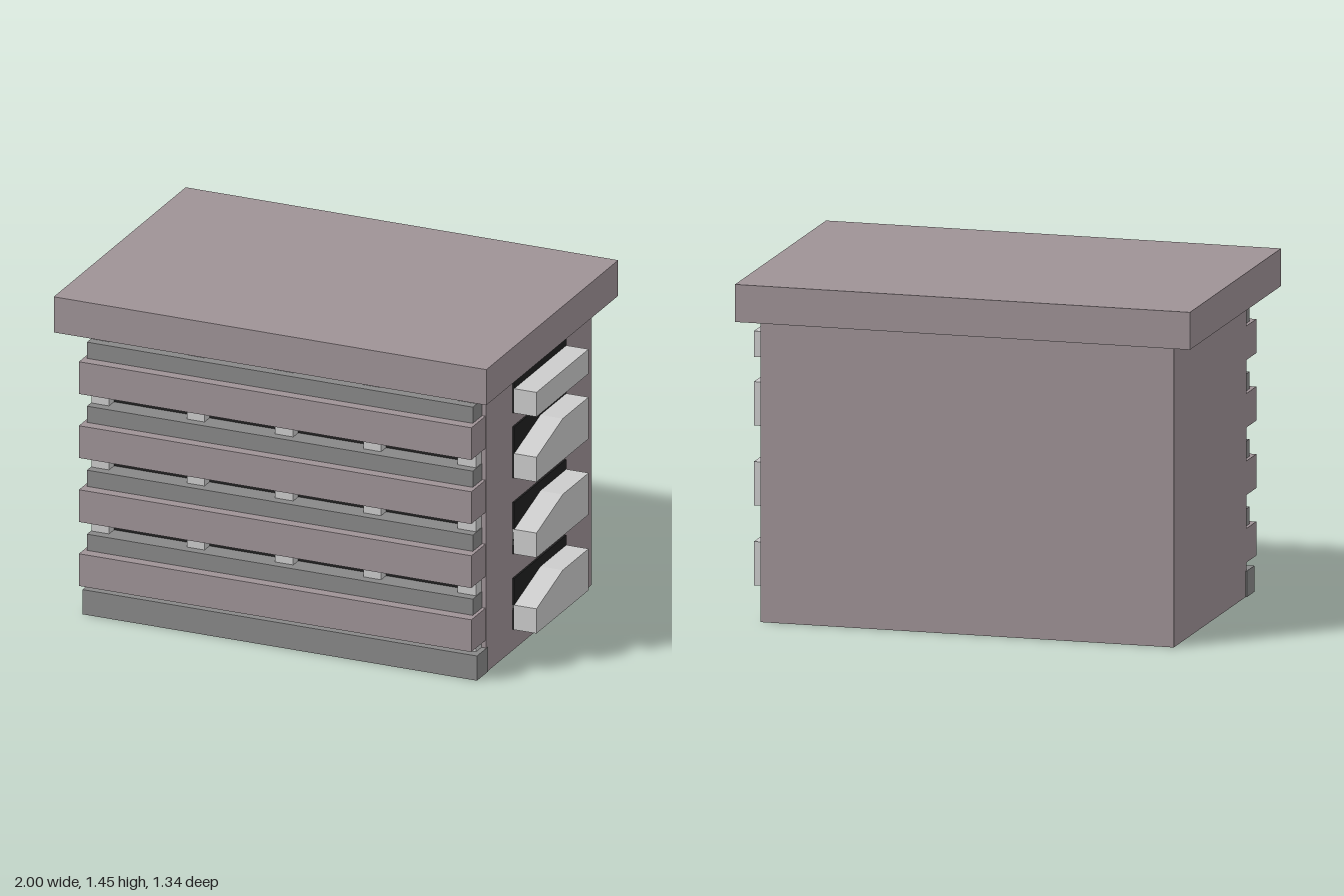
import * as THREE from 'three';

const mat = (color) => new THREE.MeshStandardMaterial({ color });

export function createModel() {
  const model = new THREE.Group();
  const mauve = mat(0x9e9296), dark = mat(0x888888), light = mat(0xcccccc), black = mat(0x202020);

  // Box given by its minimum and maximum on each axis
  function box(name, material, [x0, x1], [y0, y1], [z0, z1]) {
    const mesh = new THREE.Mesh(new THREE.BoxGeometry(x1 - x0, y1 - y0, z1 - z0), material);
    mesh.position.set((x0 + x1) / 2, (y0 + y1) / 2, (z0 + z1) / 2);
    mesh.name = name;
    model.add(mesh);
  }

  // Main case, overhanging lid and front sill
  box('body', mauve, [-0.908, 0.89], [0, 1.29], [-0.597, 0.475]);
  box('lid', mauve, [-1, 0.98], [1.29, 1.45], [-0.67, 0.67]);
  box('sill', dark, [-0.913, 0.893], [0, 0.111], [0.46, 0.572]);

  // Front slats, each with a thinner rail above it
  for (let i = 0; i < 4; i++) {
    const y = 0.145 + i * 0.288;
    box('slat', mauve, [-0.908, 0.888], [y, y + 0.145], [0.47, 0.618]);
    box('rail', dark, [-0.893, 0.873], [y + 0.145, y + 0.218], [0.47, 0.57]);
  }

  // Upright posts behind the slats, with dark openings between them
  const posts = [[-0.89, -0.81], [-0.453, -0.373], [-0.05, 0.033], [0.355, 0.435], [0.785, 0.87]];
  posts.forEach((post, i) => {
    box('post', light, post, [0.05, 1.29], [0.47, 0.53]);
    if (i < 4) box('frontOpening', black, [post[1], posts[i + 1][0]], [0.05, 1.29], [0.47, 0.48]);
  });

  // Side openings with protruding chutes; the lower three slope down to the front
  [0.095, 0.436, 0.777, 1.07].forEach((y, i) => {
    const top = i === 3;
    box('sideOpening', black, [0.88, 0.898], [y, top ? 1.29 : y + 0.231], [-0.325, 0.205]);
    const h = top ? 0.11 : 0.187;
    const profile = new THREE.Shape([[-0.205, 0], [0.325, 0], [0.325, h], [0.062, h], [-0.205, 0.111]]
      .map(([u, v]) => new THREE.Vector2(u, top ? Math.min(v, h) : v)));
    const chute = new THREE.Mesh(
      new THREE.ExtrudeGeometry(profile, { depth: 0.12, bevelEnabled: false }), light);
    chute.rotation.y = Math.PI / 2;
    chute.position.set(0.88, y, 0);
    chute.name = 'chute';
    model.add(chute);
  });

  return model;
}
